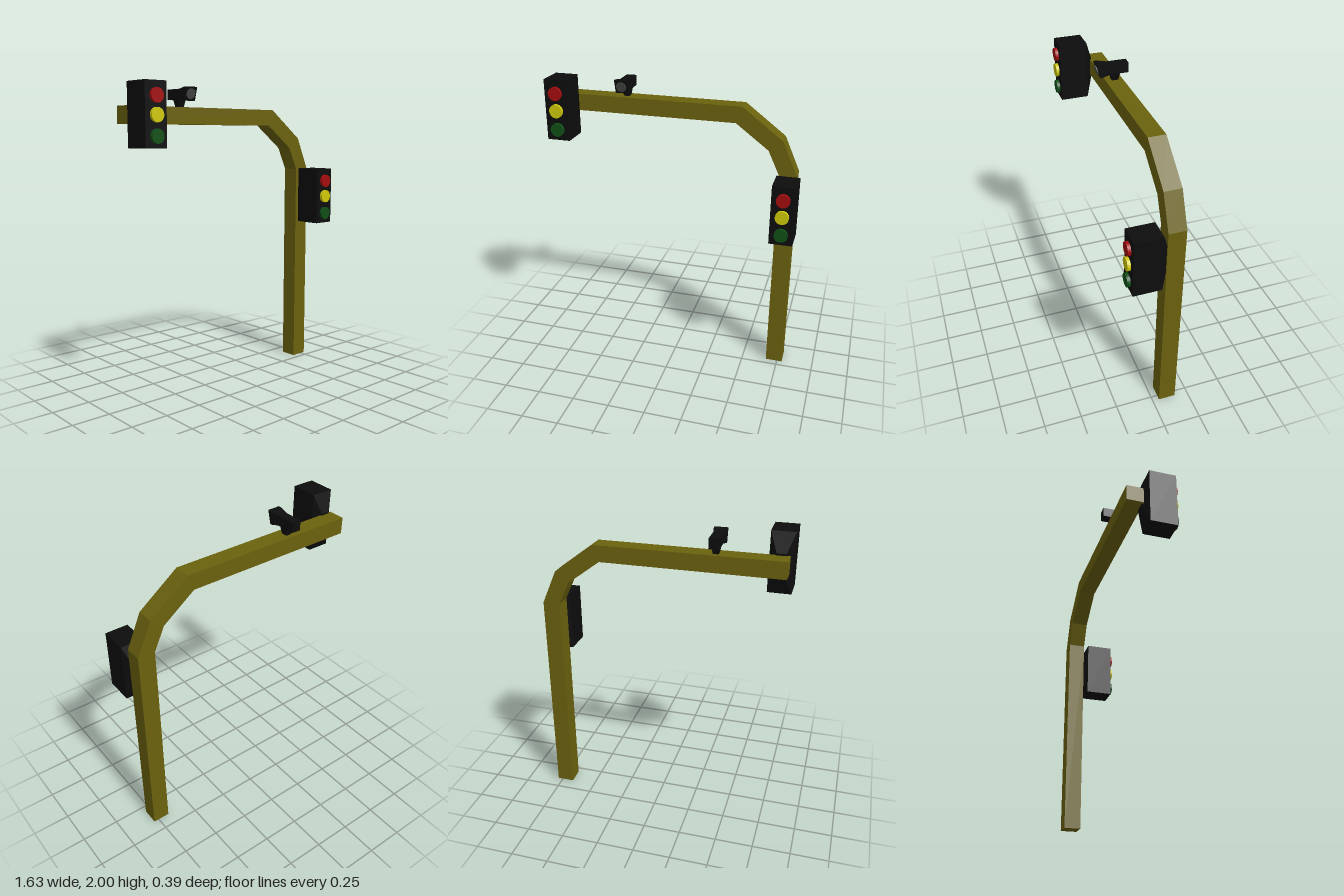
import * as THREE from 'three';

const mat = (color) => new THREE.MeshStandardMaterial({ color, flatShading: true });

// Rectangular loft along z; each section is [z, halfWidth, halfHeight, slant]
function loft(sections) {
  const n = sections.length - 1;
  const geo = new THREE.BoxGeometry(2, 2, 1, 1, 1, n);
  const p = geo.attributes.position;
  for (let i = 0; i < p.count; i++) {
    const [z, w, h, slant = 0] = sections[Math.round((p.getZ(i) + 0.5) * n)];
    p.setXYZ(i, p.getX(i) * w, p.getY(i) * h, z + p.getY(i) * slant);
  }
  geo.computeVertexNormals();
  return geo;
}

export function createModel() {
  const model = new THREE.Group();
  model.name = 'trafficLight';
  const black = mat(0x0d0d0d);
  const add = (parent, name, geo, material, x = 0, y = 0, z = 0) => {
    const mesh = new THREE.Mesh(geo, material);
    mesh.name = name;
    mesh.position.set(x, y, z);
    parent.add(mesh);
    return mesh;
  };

  // Square post bending into the overhead arm
  const outline = [
    [0.67, 0], [0.785, 0], [0.785, 1.435], [0.685, 1.66], [0.42, 1.86],
    [-0.795, 1.862], [-0.795, 1.752], [0.38, 1.752], [0.597, 1.59], [0.67, 1.435],
  ].map(([x, y]) => new THREE.Vector2(x, y));
  const postGeo = new THREE.ExtrudeGeometry(new THREE.Shape(outline), { depth: 0.115, bevelEnabled: false });
  add(model, 'postAndArm', postGeo, mat(0x6b620e), 0, 0, -0.16);

  // Signal heads: housing tapered at the back, with three lamps
  const housing = loft([[-0.055, 0.03, 0.07], [-0.012, 0.076, 0.196], [0.173, 0.076, 0.196]]);
  const lampGeo = new THREE.CylinderGeometry(0.044, 0.044, 0.04, 24).rotateX(Math.PI / 2);
  const lamps = [
    ['redLamp', 0.11, mat(0xa50d10)],
    ['yellowLamp', -0.002, mat(0xcfc90a)],
    ['greenLamp', -0.125, mat(0x105016)],
  ];
  for (const [name, x, y] of [['armSignal', -0.74, 1.804], ['postSignal', 0.737, 1.246]]) {
    const signal = new THREE.Group();
    signal.name = name;
    signal.position.set(x, y, 0);
    add(signal, 'housing', housing, black);
    for (const [lamp, dy, material] of lamps) add(signal, lamp, lampGeo, material, 0, dy, 0.174);
    model.add(signal);
  }

  // Camera with flared, slanted front on a tapered foot
  const camera = new THREE.Group();
  camera.name = 'trafficCamera';
  camera.position.set(-0.358, 1.943, 0);
  add(camera, 'cameraBody', loft([
    [-0.195, 0.032, 0.033], [-0.065, 0.032, 0.033], [-0.01, 0.043, 0.043, 0.008], [0.01, 0.043, 0.043, 0.012],
  ]), black);
  const lens = add(camera, 'cameraLens',
    new THREE.CylinderGeometry(0.033, 0.033, 0.014, 20).rotateX(Math.PI / 2), mat(0x484b48), 0, 0, 0.01);
  lens.rotation.x = Math.atan2(0.012, 0.043);
  const foot = loft([[-0.045, 0.016, 0.02], [0.045, 0.032, 0.038]]).rotateX(-Math.PI / 2);
  add(camera, 'cameraFoot', foot, black, 0, -0.045, -0.108);
  model.add(camera);

  return model;
}
